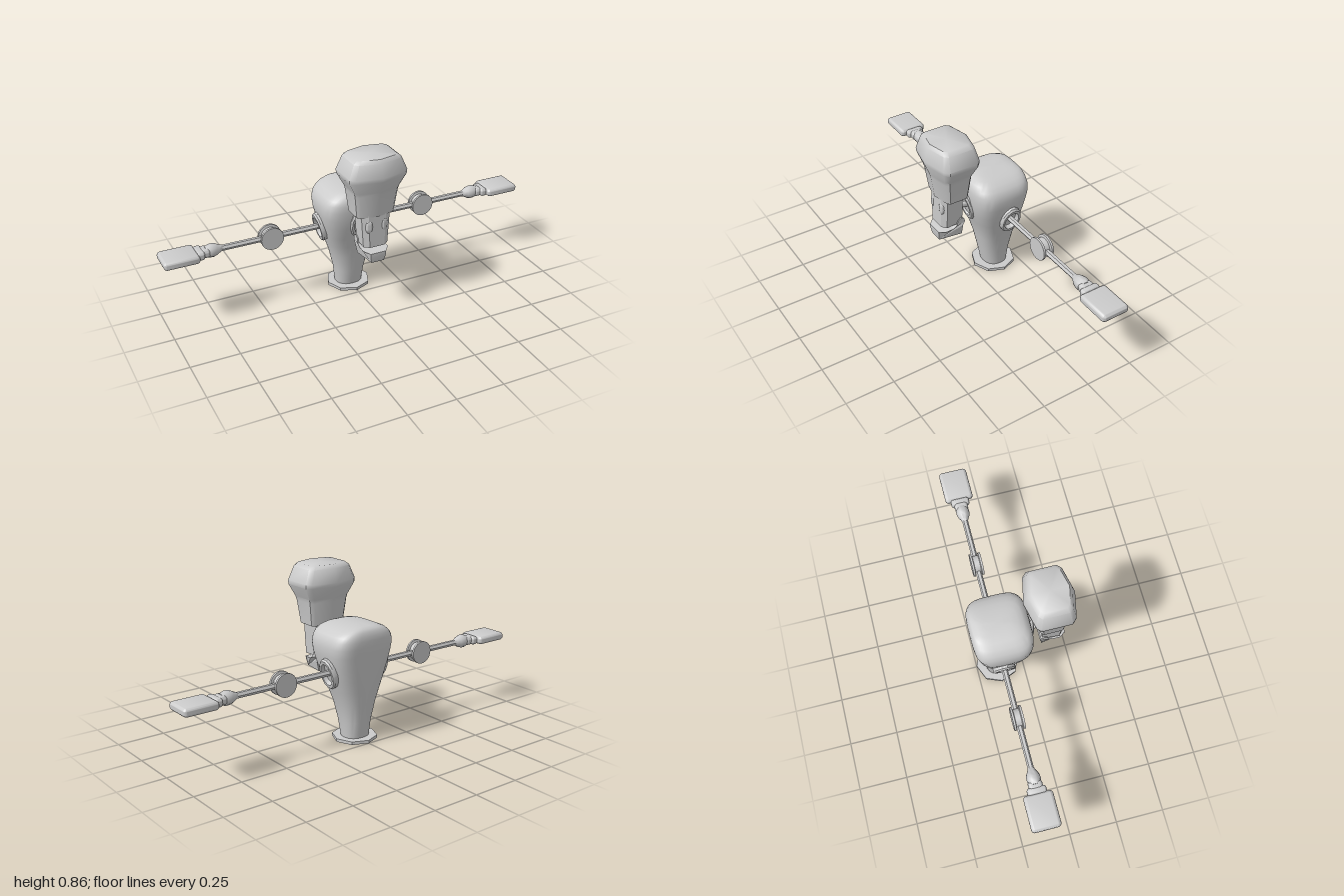
import * as THREE from 'three';
import { toCreasedNormals } from 'three/addons/utils/BufferGeometryUtils.js';
import { RoundedBoxGeometry } from 'three/addons/geometries/RoundedBoxGeometry.js';

const material = new THREE.MeshStandardMaterial({ color: 0xcccccc });

function part(parent, name, geometry, pos = [0, 0, 0], rot = [0, 0, 0], crease = 0.6) {
  const mesh = new THREE.Mesh(toCreasedNormals(geometry, crease), material);
  mesh.name = name;
  mesh.position.set(...pos);
  mesh.rotation.set(...rot);
  parent.add(mesh);
  return mesh;
}

// Capped loft through level sections [y, halfWidth, zFront, zBack, extra]
function loft(sections, outline) {
  const pos = [], index = [];
  const n = outline(sections[0]).length;
  for (const s of sections) {
    const [y, w, zf, zb] = s;
    for (const [u, v] of outline(s)) pos.push(u * w, y, (zf + zb) / 2 + v * (zf - zb) / 2);
  }
  for (let i = 0; i < sections.length - 1; i++) {
    for (let j = 0; j < n; j++) {
      const a = i * n + j, b = i * n + (j + 1) % n;
      index.push(a, a + n, b, b, a + n, b + n);
    }
  }
  const last = (sections.length - 1) * n;
  for (const [row, y, zf, zb, up] of [
    [0, sections[0][0], sections[0][2], sections[0][3], false],
    [last, sections.at(-1)[0], sections.at(-1)[2], sections.at(-1)[3], true]]) {
    const c = pos.length / 3;
    pos.push(0, y, (zf + zb) / 2);
    for (let j = 0; j < n; j++) {
      const p = row + j, q = row + (j + 1) % n;
      if (up) index.push(c, q, p); else index.push(c, p, q);
    }
  }
  const g = new THREE.BufferGeometry();
  g.setAttribute('position', new THREE.Float32BufferAttribute(pos, 3));
  g.setIndex(index);
  return g;
}

// Rounded rectangle outline; the section's fifth value sets how square it is
function superellipse([, , , , power]) {
  return Array.from({ length: 40 }, (_, i) => {
    const t = i / 40 * Math.PI * 2, c = Math.cos(t), s = Math.sin(t);
    return [Math.sign(c) * Math.abs(c) ** (2 / power), Math.sign(s) * Math.abs(s) ** (2 / power)];
  });
}

const lathe = (points, sides) =>
  new THREE.LatheGeometry(points.map(([r, y]) => new THREE.Vector2(r, y)), sides);

// Oval raised rim with an open, recessed centre
function rim(parent, name, rx, rz, pos, rot) {
  const g = lathe([[1, -0.03], [1, 0.003], [0.9, 0.012], [0.7, 0.012], [0.6, -0.02]], 14);
  g.scale(rx, 1, rz);
  return part(parent, name, g, pos, rot);
}

function buildHead() {
  const head = new THREE.Group();
  head.name = 'head';
  const hatOutline = () => [[1, -0.6], [1, 0.6], [0.85, 0.78], [0, 1], [-0.85, 0.78],
    [-1, 0.6], [-1, -0.6], [-0.85, -0.78], [0, -1], [0.85, -0.78]];
  part(head, 'hat', loft([
    [0.55, 0.1, 0.215, 0.06], [0.67, 0.115, 0.234, 0.044], [0.69, 0.12, 0.239, 0.04],
    [0.755, 0.153, 0.265, 0.012], [0.775, 0.154, 0.266, 0.011],
    [0.845, 0.126, 0.249, 0.03], [0.862, 0.105, 0.235, 0.05]], hatOutline), undefined, undefined, 0.75);

  const faceOutline = () => [[0.9, -1], [1, 0.65], [0.6, 1], [-0.6, 1], [-1, 0.65], [-0.9, -1]];
  part(head, 'face', loft([[0.382, 0.066, 0.207, 0.095], [0.56, 0.078, 0.207, 0.095]], faceOutline),
    undefined, undefined, 0.3);

  for (const side of [-1, 1]) {
    const eye = new THREE.SphereGeometry(1, 20, 14);
    eye.scale(0.019, 0.04, 0.012);
    part(head, 'eye', eye, [side * 0.041, 0.496, 0.199], [0, side * 0.2, 0], 1);
  }

  // Jaw: side profile, narrowed towards the chin and the underside
  const profile = [[0.215, 0.3], [0.222, 0.335], [0.222, 0.353], [0.192, 0.36], [0.15, 0.362],
    [0.128, 0.376], [0.124, 0.4], [0.106, 0.414], [0.088, 0.406], [0.083, 0.386], [0.094, 0.365],
    [0.094, 0.303]];
  const jaw = new THREE.ExtrudeGeometry(new THREE.Shape(profile.map(p => new THREE.Vector2(...p)).reverse()),
    { depth: 0.136, bevelEnabled: false });
  jaw.translate(0, 0, -0.068).rotateY(-Math.PI / 2);
  const p = jaw.attributes.position;
  for (let i = 0; i < p.count; i++) {
    const chin = p.getZ(i) > 0.2 ? 0.62 : 1, under = p.getY(i) < 0.31 ? 0.8 : 1;
    p.setX(i, p.getX(i) * chin * under);
  }
  part(head, 'jaw', jaw, undefined, undefined, 0.3);
  return head;
}

// One arm reaching along +x from the body's side
function buildArm() {
  const arm = new THREE.Group();
  arm.name = 'arm';
  const alongX = [0, 0, -Math.PI / 2];
  rim(arm, 'armSocket', 0.083, 0.058, [0.163, -0.005, 0], [0, 0, -Math.PI / 2 - 0.25]);

  const rod = new THREE.CylinderGeometry(0.0155, 0.0155, 0.62, 6);
  part(arm, 'armRod', rod, [0.41, 0, 0], alongX, 0.3);

  const elbow = lathe([[0, -0.029], [0.06, -0.029], [0.06, -0.018], [0.047, -0.015], [0.047, 0.015],
    [0.06, 0.018], [0.06, 0.029], [0, 0.029]], 24);
  part(arm, 'elbow', elbow, [0.43, 0, 0], [Math.PI / 2, 0, 0]);

  const wrist = lathe([[0.016, 0.69], [0.022, 0.705], [0.03, 0.718], [0.035, 0.735], [0.035, 0.755],
    [0.028, 0.775], [0, 0.78]], 10);
  part(arm, 'wrist', wrist, undefined, alongX, 0.75);

  part(arm, 'handRoot', new RoundedBoxGeometry(0.05, 0.046, 0.072, 3, 0.018), [0.778, 0, 0]);
  part(arm, 'handJoint', new RoundedBoxGeometry(0.04, 0.044, 0.098, 3, 0.015), [0.806, 0, 0]);
  part(arm, 'hand', new RoundedBoxGeometry(0.182, 0.043, 0.15, 4, 0.018), [0.909, 0, 0]);
  return arm;
}

export function createModel() {
  const model = new THREE.Group();
  model.name = 'figure';

  part(model, 'base', new THREE.CylinderGeometry(0.115, 0.115, 0.016, 8), [0, 0.008, -0.135], undefined, 0.3);

  part(model, 'body', loft([
    [0.01, 0.07, -0.073, -0.2, 2.3], [0.1, 0.078, -0.054, -0.212, 2.4],
    [0.2, 0.1, -0.035, -0.226, 2.6], [0.27, 0.123, -0.017, -0.236, 2.8],
    [0.33, 0.143, 0.005, -0.244, 3], [0.4, 0.163, 0.028, -0.253, 3.3],
    [0.46, 0.176, 0.04, -0.259, 3.6], [0.505, 0.18, 0.043, -0.264, 3.8],
    [0.54, 0.173, 0.043, -0.265, 3.8], [0.563, 0.158, 0.038, -0.262, 3.8],
    [0.582, 0.133, 0.026, -0.256, 3.8], [0.596, 0.1, 0.006, -0.246, 3.8],
    [0.603, 0.065, -0.02, -0.225, 3.6], [0.607, 0.03, -0.05, -0.19, 3.2]], superellipse),
    undefined, undefined, 1.2);

  // Neck with its rim on the chest and its plate at the back of the head
  rim(model, 'neckSocket', 0.062, 0.097, [0, 0.43, 0.032], [Math.PI / 2 + 0.236, 0, 0]);
  part(model, 'neck', new THREE.CylinderGeometry(0.015, 0.016, 0.09, 12), [0, 0.436, 0.055], [Math.PI / 2 - 0.2, 0, 0]);
  part(model, 'neckPlate', new THREE.CylinderGeometry(0.03, 0.03, 0.012, 16), [0, 0.445, 0.091], [Math.PI / 2, 0, 0]);

  model.add(buildHead());

  for (const turn of [0, Math.PI]) {
    const arm = buildArm();
    arm.name = turn ? 'rightArm' : 'leftArm';
    arm.position.set(0, 0.372, -0.13);
    arm.rotation.y = turn;
    model.add(arm);
  }
  return model;
}
